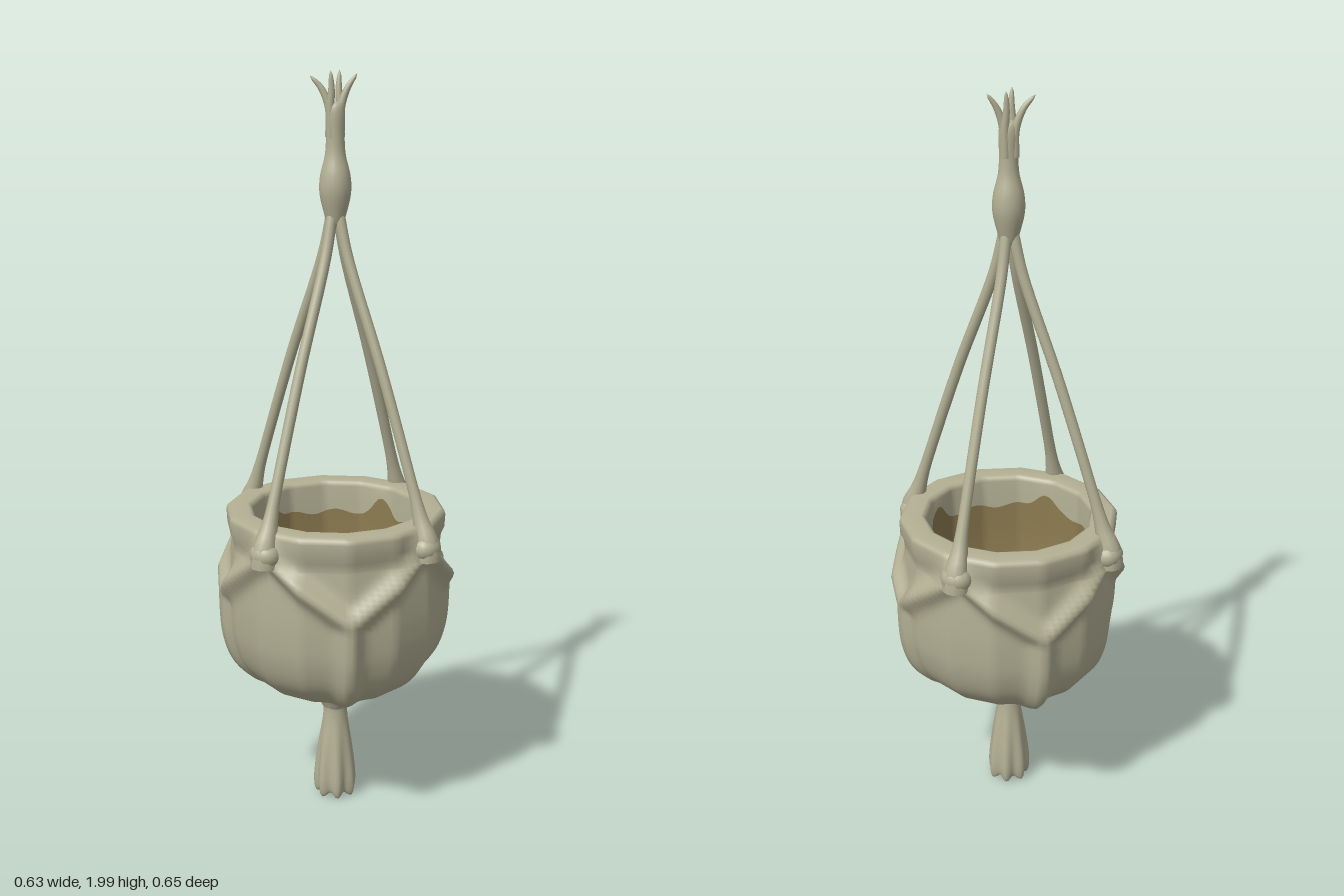
import * as THREE from 'three';
import { mergeVertices } from 'three/addons/utils/BufferGeometryUtils.js';

const V2 = (x, y) => new THREE.Vector2(x, y);
const V3 = (x, y, z) => new THREE.Vector3(x, y, z);

// Weld a geometry and give it smooth normals across its seams
function smooth(geo) {
  geo.deleteAttribute('uv');
  geo.deleteAttribute('normal');
  const g = mergeVertices(geo, 1e-5);
  g.computeVertexNormals();
  return g;
}

// Lathe whose vertices are moved by rule(radius, y, angle) -> [radius, y]
function warpedLathe(points, segments, rule) {
  const geo = new THREE.LatheGeometry(points, segments);
  const p = geo.attributes.position;
  for (let i = 0; i < p.count; i++) {
    const a = Math.atan2(p.getX(i), p.getZ(i));
    const [r, y] = rule(Math.hypot(p.getX(i), p.getZ(i)), p.getY(i), a);
    p.setXYZ(i, r * Math.sin(a), y, r * Math.cos(a));
  }
  return smooth(geo);
}

// Tube along a smooth path with a radius that varies from 0 to 1 along it
function taperedTube(points, segments, radiusAt) {
  const curve = new THREE.CatmullRomCurve3(points);
  const sides = 10;
  const geo = new THREE.TubeGeometry(curve, segments, 1, sides);
  const p = geo.attributes.position, v = V3(0, 0, 0);
  for (let i = 0; i < p.count; i++) {
    const t = Math.floor(i / (sides + 1)) / segments;
    const c = curve.getPointAt(t);
    v.fromBufferAttribute(p, i).sub(c).multiplyScalar(radiusAt(t)).add(c);
    p.setXYZ(i, v.x, v.y, v.z);
  }
  return smooth(geo);
}

const splinePoints = (pairs, n) =>
  new THREE.SplineCurve(pairs.map(([x, y]) => V2(x, y))).getPoints(n)
    .map((p) => V2(Math.max(p.x, 0), p.y));

// Angle from the nearest axis, 0 to 45 degrees
const foldAngle = (a) => Math.abs(a - Math.round(a / (Math.PI / 2)) * (Math.PI / 2));

// Slightly many-sided outline
function facet(a) {
  const step = Math.PI / 7;
  const f = ((a % step) + step) % step - step / 2;
  return 0.985 / Math.cos(f);
}

// Raised net: a V between neighbouring knots, then one strand down to the base
function netHeight(r, y, a) {
  const u = r * foldAngle(a);
  const ax = 0.228, ay = 0.17;
  const t = THREE.MathUtils.clamp((u * ax + (y - 0.62) * ay) / (ax * ax + ay * ay), 0, 1);
  const dV = Math.hypot(u - t * ax, y - 0.62 - t * ay);
  const dDown = y < 0.62 ? u : Math.hypot(u, y - 0.62);
  const d = Math.min(dV, dDown);
  return 0.032 * Math.exp(-((d / 0.026) ** 2)) * Math.min(1, r / 0.2);
}

// Uneven upper edge of the lining, rising at the four corners
const liningEdge = (a) =>
  0.765 + 0.045 * Math.exp(-(((Math.PI / 4 - foldAngle(a)) / 0.16) ** 2)) + 0.007 * Math.sin(a * 11);

export function createModel() {
  const group = new THREE.Group();
  const cord = new THREE.MeshStandardMaterial({ color: 0xb3b094 });
  cord.name = 'pale cord';
  const lining = new THREE.MeshStandardMaterial({ color: 0x8c7b50 });
  lining.name = 'brown lining';
  const add = (name, geo, mat = cord, parent = group) => {
    const m = new THREE.Mesh(geo, mat);
    m.name = name;
    parent.add(m);
    return m;
  };

  // Pot with the net moulded over it
  const outer = splinePoints([
    [0.03, 0.27], [0.055, 0.31], [0.11, 0.335], [0.19, 0.36], [0.25, 0.415],
    [0.28, 0.49], [0.289, 0.58], [0.287, 0.68], [0.28, 0.76],
  ], 64);
  const rim = [[0.282, 0.78], [0.291, 0.8], [0.293, 0.835], [0.29, 0.846], [0.28, 0.852],
    [0.235, 0.852], [0.226, 0.848], [0.222, 0.838], [0.22, 0.765]].map(([x, y]) => V2(x, y));
  add('pot', warpedLathe([...outer, ...rim], 112, (r, y, a) => {
    if (r < 0.2201 && y > 0.7) return [0.22 * facet(a), liningEdge(a)];
    const net = r > 0.27 || y < 0.7 ? netHeight(r, y, a) : 0;
    return [r * facet(a) + net, y];
  }));

  // Hollow inside of the pot
  const bowl = [[0.22, 0.765], [0.219, 0.7], [0.215, 0.6], [0.195, 0.5], [0.15, 0.43],
    [0.08, 0.395], [0, 0.385]].map(([x, y]) => V2(x, y));
  add('potLining', warpedLathe(bowl, 112, (r, y, a) =>
    [r * facet(a), y > 0.76 ? liningEdge(a) : y]), lining);

  // Four hanging cords, each with its corner knot
  for (let i = 0; i < 4; i++) {
    const corner = new THREE.Group();
    corner.name = 'hangingCord' + (i + 1);
    corner.rotation.y = Math.PI / 4 + (i * Math.PI) / 2;
    group.add(corner);
    add('cord', taperedTube([
      V3(0, 0.76, 0.3), V3(0, 0.81, 0.298), V3(0, 0.86, 0.28), V3(0, 0.93, 0.258),
      V3(0, 1.25, 0.148), V3(0, 1.53, 0.04), V3(0, 1.64, 0.012),
    ], 48, (t) => 0.0145 + 0.022 * Math.exp(-((t / 0.11) ** 2))), cord, corner);
    const knot = add('cornerKnot', new THREE.SphereGeometry(1, 18, 12), cord, corner);
    knot.scale.set(0.042, 0.036, 0.036);
    knot.position.set(0, 0.793, 0.298);
  }

  // Gathering knot and stem above the cords
  add('topKnot', new THREE.LatheGeometry(splinePoints([
    [0, 1.6], [0.018, 1.605], [0.03, 1.64], [0.041, 1.69], [0.039, 1.735],
    [0.027, 1.785], [0.024, 1.83], [0.025, 1.89], [0.018, 1.915], [0, 1.918],
  ], 40), 20), cord);

  // Frayed ends at the very top
  const frays = [[-0.062, 1.982, -0.022], [0.056, 1.988, 0], [0.014, 1.996, -0.022], [-0.014, 1.997, 0.016]];
  frays.forEach(([x, y, z], i) => {
    const s = Math.sign(x);
    add('frayedEnd' + (i + 1), taperedTube([
      V3(s * 0.012, 1.83, z * 0.5), V3(s * 0.014, 1.9, z * 0.6),
      V3(x * 0.45 + s * 0.005, 1.95, z * 0.8), V3(x, y, z),
    ], 16, (t) => 0.0125 * Math.sqrt(Math.max(0, 1 - t ** 5)) * (1 - 0.35 * t)));
  });

  // Tassel with lobed, uneven ends
  add('tassel', warpedLathe(splinePoints([
    [0, 0.035], [0.025, 0.025], [0.046, 0.012], [0.054, 0.035], [0.053, 0.09],
    [0.044, 0.17], [0.034, 0.24], [0.035, 0.28], [0.06, 0.315], [0.09, 0.345],
  ], 40), 56, (r, y, a) => {
    const k = THREE.MathUtils.clamp((0.24 - y) / 0.18, 0, 1);
    const lobes = 1 + k * 0.1 * Math.cos(a * 7);
    const lift = y < 0.06 ? 0.012 * (1 - Math.cos(a * 7)) * (r / 0.05) * 0.6 : 0;
    return [r * lobes, Math.max(0, y - 0.006 * k + lift)];
  }));

  return group;
}
